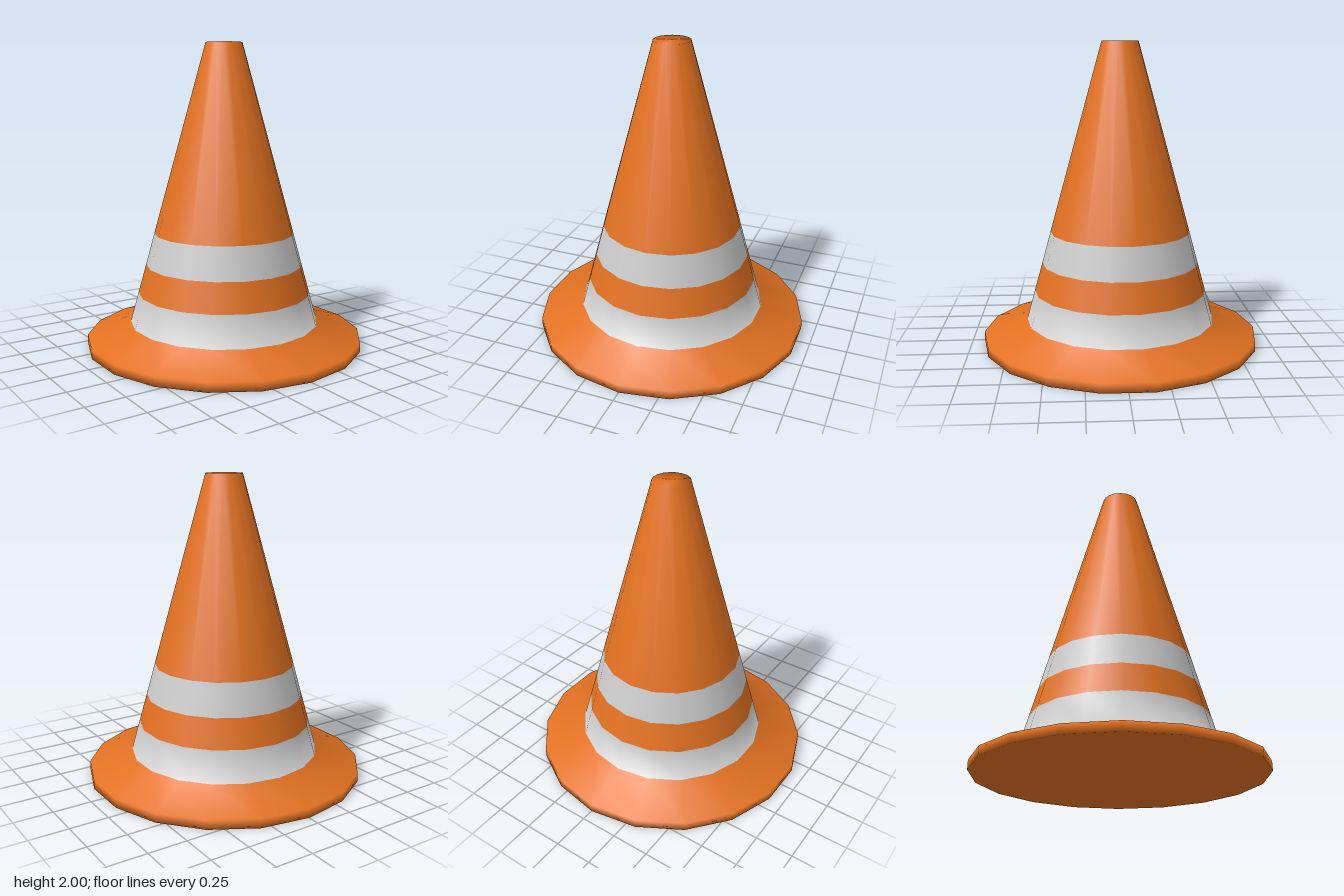
import * as THREE from 'three';

const SIDES = 18;
const ORANGE = 0xe27121;
const GREY = 0xcccccc;

// Outline from the centre of the underside to the centre of the tip: [radius, height]
const PROFILE = [
  [0, 0], [0.92, 0], [0.92, 0.06], [0.63, 0.15],
  [0.575, 0.35], [0.522, 0.54], [0.465, 0.75], [0.12, 2], [0, 2],
];

// Each part covers the profile spans from index "from" to index "to"
const PARTS = [
  { name: 'base', from: 0, to: 3, color: ORANGE },
  { name: 'lowerStripe', from: 3, to: 4, color: GREY },
  { name: 'middleBand', from: 4, to: 5, color: ORANGE },
  { name: 'upperStripe', from: 5, to: 6, color: GREY },
  { name: 'coneTop', from: 6, to: 8, color: ORANGE },
];

export function createModel() {
  const group = new THREE.Group();
  group.name = 'trafficCone';

  // One lathe keeps the shading continuous where the parts meet
  const body = new THREE.LatheGeometry(PROFILE.map(([r, y]) => new THREE.Vector2(r, y)), SIDES);
  const faces = Array.from(body.index.array);
  const spans = PROFILE.length - 1;

  for (const { name, from, to, color } of PARTS) {
    const geometry = body.clone();
    // Keep only the quads (six indices each) belonging to this part
    geometry.setIndex(faces.filter((_, i) => {
      const span = Math.floor(i / 6) % spans;
      return span >= from && span < to;
    }));
    const mesh = new THREE.Mesh(geometry, new THREE.MeshStandardMaterial({ color }));
    mesh.name = name;
    group.add(mesh);
  }
  return group;
}
